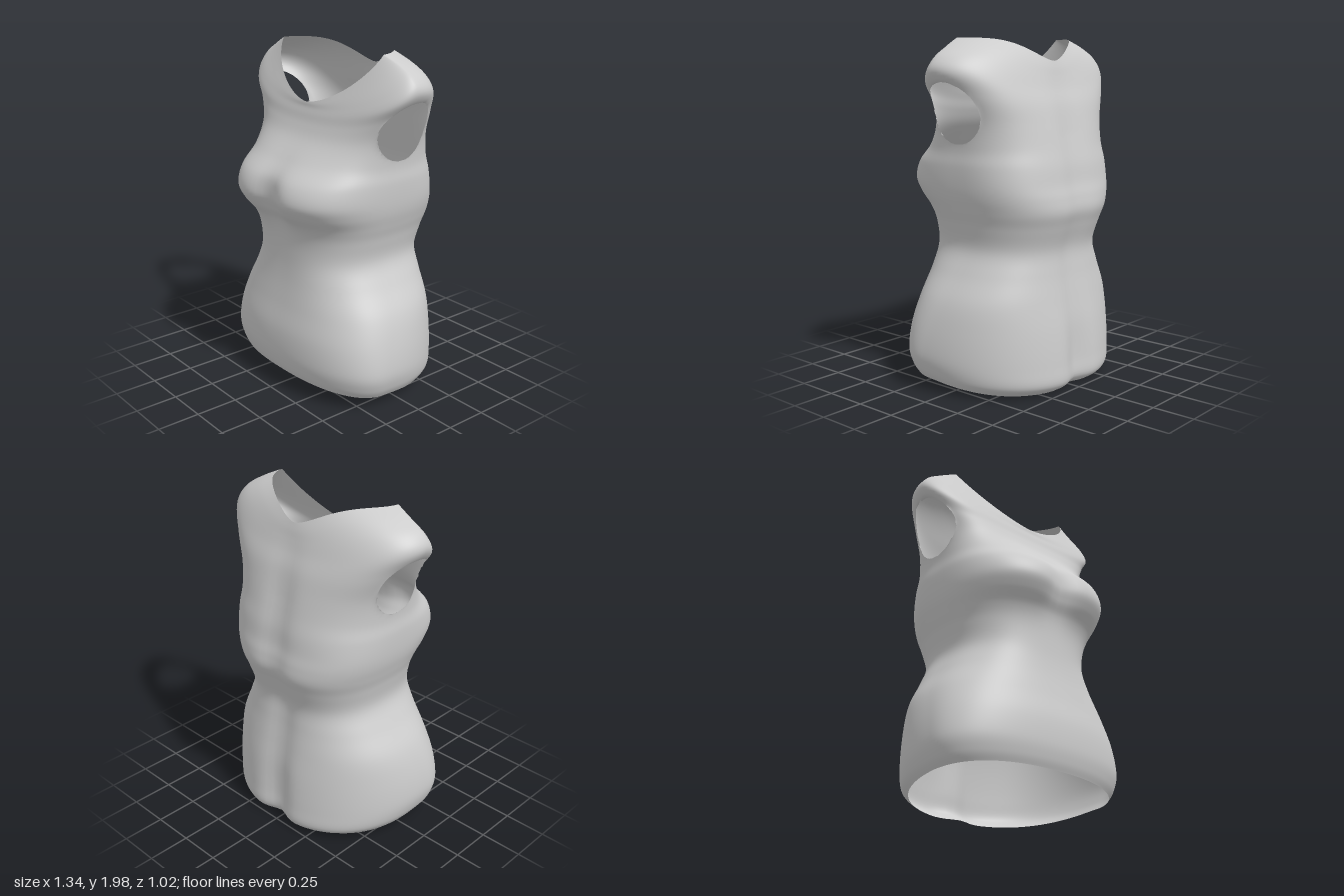
import * as THREE from 'three';

const SEGMENTS = 120; // points around each ring
const STEPS = 6; // interpolated rows between two sections

// Level sections, hem to underarm: height, half width, front z, back z
const BODY = [
  [0.065, 0.59, 0.425, -0.445],
  [0.12, 0.62, 0.445, -0.515],
  [0.22, 0.64, 0.46, -0.515],
  [0.38, 0.622, 0.455, -0.495],
  [0.54, 0.575, 0.425, -0.465],
  [0.69, 0.49, 0.40, -0.442],
  [0.82, 0.432, 0.39, -0.435],
  [0.95, 0.448, 0.395, -0.475],
  [1.04, 0.475, 0.425, -0.505],
  [1.12, 0.498, 0.49, -0.50],
  [1.20, 0.51, 0.525, -0.482],
  [1.30, 0.515, 0.492, -0.468],
  [1.40, 0.51, 0.385, -0.445],
];

// Sloping sections, underarm to neckline:
// half width, front z, back z, z of widest point, y front, y side, y back, squareness, fall at back
const YOKE = [
  [0.53, 0.29, -0.415, -0.03, 1.50, 1.55, 1.52, 0.76, 1.5],
  [0.60, 0.245, -0.385, -0.03, 1.58, 1.70, 1.63, 0.80, 2],
  [0.67, 0.225, -0.35, -0.01, 1.64, 1.81, 1.72, 0.88, 3],
  [0.635, 0.215, -0.33, 0.00, 1.67, 1.89, 1.78, 0.96, 4],
  [0.54, 0.212, -0.315, 0.01, 1.69, 1.95, 1.83, 1.08, 5],
  [0.44, 0.21, -0.30, 0.03, 1.70, 1.995, 1.87, 1.24, 6],
];

// Armhole outline seen from the side
const HOLE = { y: 1.59, z: -0.04, ry: 0.17, rz: 0.17 };

const bump = (v, centre, width) => Math.exp(-(((v - centre) / width) ** 2));

// Body sections take the yoke layout; the hem dips evenly towards the back
function bodySection([y, width, front, back]) {
  const tilt = 0.14 * Math.max(0, 1 - y / 0.45);
  const mid = -0.03 + 0.17 * bump(y, 0.2, 0.35);
  const squareness = 0.77 - 0.06 * bump(y, 1.2, 0.12) + 0.09 * bump(y, 0.2, 0.35);
  return [width, front, back, mid, y + tilt * front, y + tilt * mid, y + tilt * back, squareness, 1];
}

const SECTIONS = [...BODY.map(bodySection), ...YOKE];

function catmull(a, b, c, d, t) {
  return 0.5 * (2 * b + (c - a) * t + (2 * a - 5 * b + 4 * c - d) * t * t + (3 * b - a - 3 * c + d) * t * t * t);
}

function sectionAt(row) {
  const last = SECTIONS.length - 1;
  const i = Math.min(Math.floor(row / STEPS), last - 1);
  const t = row / STEPS - i;
  const at = (k) => SECTIONS[Math.max(0, Math.min(last, k))];
  return SECTIONS[i].map((_, k) => catmull(at(i - 1)[k], at(i)[k], at(i + 1)[k], at(i + 2)[k], t));
}

function ringPoint([width, front, back, mid, yFront, ySide, yBack, e, backFall], angle) {
  const c = Math.cos(angle), s = Math.sin(angle);
  const x = width * Math.sign(c) * Math.abs(c) ** e;
  const depth = Math.abs(s) ** e;
  const isFront = s >= 0;
  const y = isFront
    ? ySide + (yFront - ySide) * Math.abs(s) ** 1.35
    : ySide + (yBack - ySide) * Math.abs(s) ** backFall;
  // hollow down the middle of the chest, and along the spine and seat
  const hollow = isFront
    ? -0.06 * bump(y, 1.2, 0.15)
    : (0.025 * Math.min(1, Math.max(0, (1.87 - y) / 0.4)) + 0.03 * bump(y, 0.15, 0.25)) * depth;
  const z = mid + ((isFront ? front : back) - mid) * depth + hollow * bump(x, 0, isFront ? 0.11 : 0.09);
  return [x, y, z];
}

function buildGarment() {
  const rows = (SECTIONS.length - 1) * STEPS;
  const positions = [], inHole = [], indices = [];
  for (let r = 0; r <= rows; r++) {
    const section = sectionAt(r);
    for (let k = 0; k < SEGMENTS; k++) {
      let [x, y, z] = ringPoint(section, (k / SEGMENTS) * Math.PI * 2);
      const dy = (y - HOLE.y) / HOLE.ry, dz = (z - HOLE.z) / HOLE.rz;
      const d = Math.hypot(dy, dz);
      const inside = d < 1 && Math.abs(x) > 0.35;
      // points inside the armhole move out to its rim
      if (inside && d > 0.01) {
        y = HOLE.y + (dy / d) * HOLE.ry;
        z = HOLE.z + (dz / d) * HOLE.rz;
      }
      positions.push(x, y, z);
      inHole.push(inside);
    }
  }
  const addTriangle = (a, b, c) => {
    if (!(inHole[a] && inHole[b] && inHole[c])) indices.push(a, b, c);
  };
  for (let r = 0; r < rows; r++) {
    for (let k = 0; k < SEGMENTS; k++) {
      const a = r * SEGMENTS + k, b = r * SEGMENTS + ((k + 1) % SEGMENTS);
      const c = a + SEGMENTS, d = b + SEGMENTS;
      addTriangle(a, c, b);
      addTriangle(b, c, d);
    }
  }
  const geometry = new THREE.BufferGeometry();
  geometry.setAttribute('position', new THREE.Float32BufferAttribute(positions, 3));
  geometry.setIndex(indices);
  geometry.computeVertexNormals();
  return geometry;
}

export function createModel() {
  const group = new THREE.Group();
  group.name = 'sleevelessTop';
  const cloth = new THREE.MeshStandardMaterial({ color: 0xcccccc, side: THREE.DoubleSide });
  cloth.name = 'light grey cloth';
  const garment = new THREE.Mesh(buildGarment(), cloth);
  garment.name = 'garmentShell';
  group.add(garment);
  return group;
}
